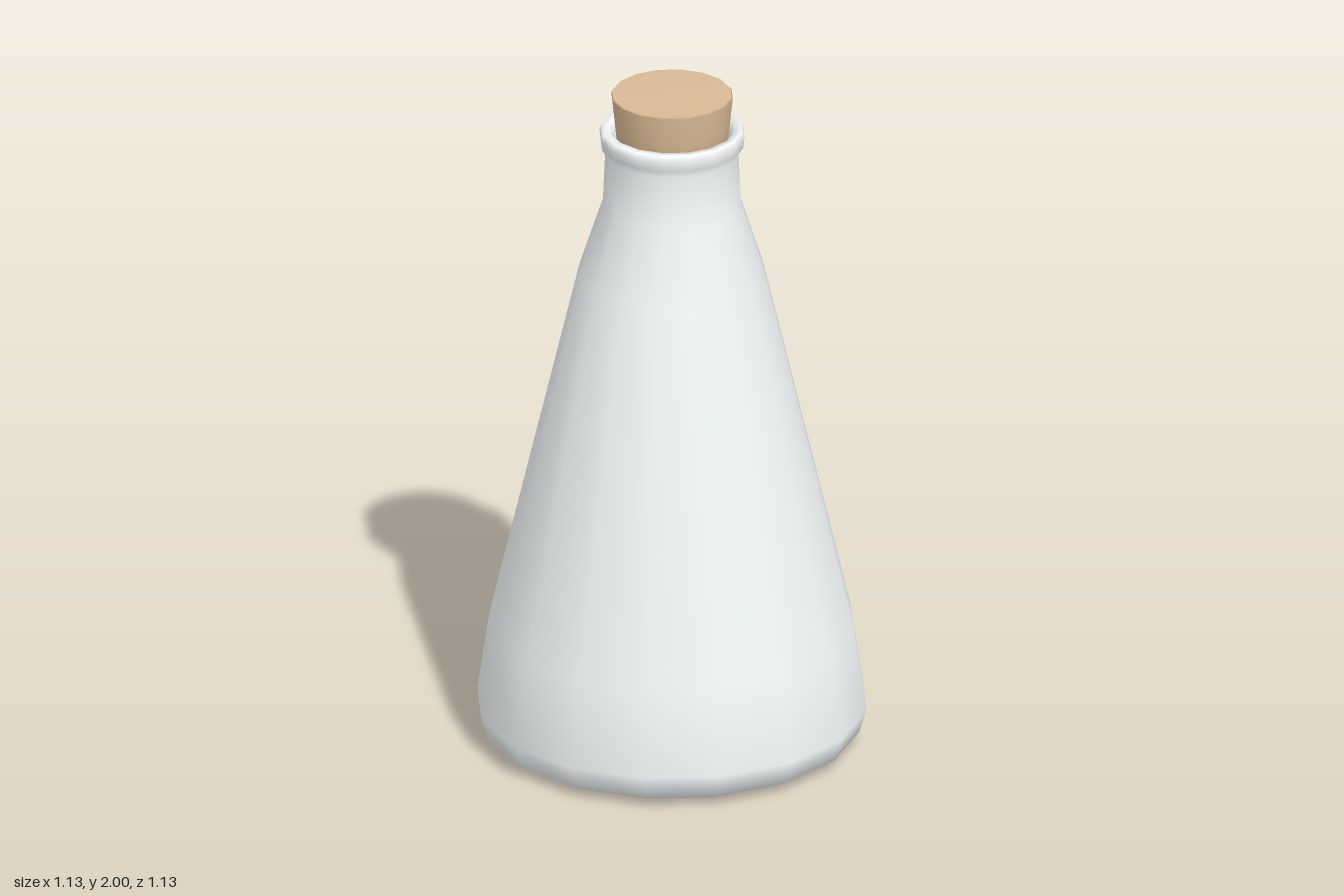
import * as THREE from 'three';
import { mergeVertices } from 'three/addons/utils/BufferGeometryUtils.js';

const SIDES = 16;

function turned(profile) {
  return new THREE.LatheGeometry(profile.map(([r, y]) => new THREE.Vector2(r, y)), SIDES);
}

// Conical flask: base, sloping wall, neck, rolled lip and inner neck
function flaskGeometry() {
  let geo = turned([
    [0, 0], [0.48, 0], [0.54, 0.03], [0.564, 0.1], [0.527, 0.35],
    [0.268, 1.45], [0.2, 1.66], [0.193, 1.82], [0.207, 1.845], [0.21, 1.875],
    [0.204, 1.893], [0.182, 1.893], [0.173, 1.865], [0.168, 1.83], [0.168, 1.7],
  ]);

  // Pull the rear of the lip out into a pouring spout, the outer edge furthest
  const pos = geo.attributes.position;
  for (let i = 0; i < pos.count; i++) {
    const y = pos.getY(i);
    const z = pos.getZ(i);
    if (y > 1.83 && z < 0 && Math.abs(pos.getX(i)) < 0.01) {
      const reach = z < -0.19 ? 0.031 : 0.012;
      pos.setZ(i, z - reach * Math.min(1, (y - 1.83) / 0.06));
    }
  }

  // Weld the seam so the shading stays smooth all round
  geo.deleteAttribute('uv');
  geo.deleteAttribute('normal');
  geo = mergeVertices(geo, 1e-4);
  geo.computeVertexNormals();
  return geo;
}

export function createModel() {
  const model = new THREE.Group();
  model.name = 'corkedFlask';

  const flask = new THREE.Mesh(
    flaskGeometry(),
    new THREE.MeshStandardMaterial({ color: 0xf4f9f9, side: THREE.DoubleSide })
  );
  flask.name = 'flask';

  // Tapered stopper, wider at the top, with a softly shaded upper edge
  const cork = new THREE.Mesh(
    turned([[0, 1.72], [0.148, 1.72], [0.167, 1.91], [0.176, 1.995], [0.172, 2], [0, 2]]),
    new THREE.MeshStandardMaterial({ color: 0xd8b994 })
  );
  cork.name = 'cork';

  model.add(flask, cork);
  return model;
}
